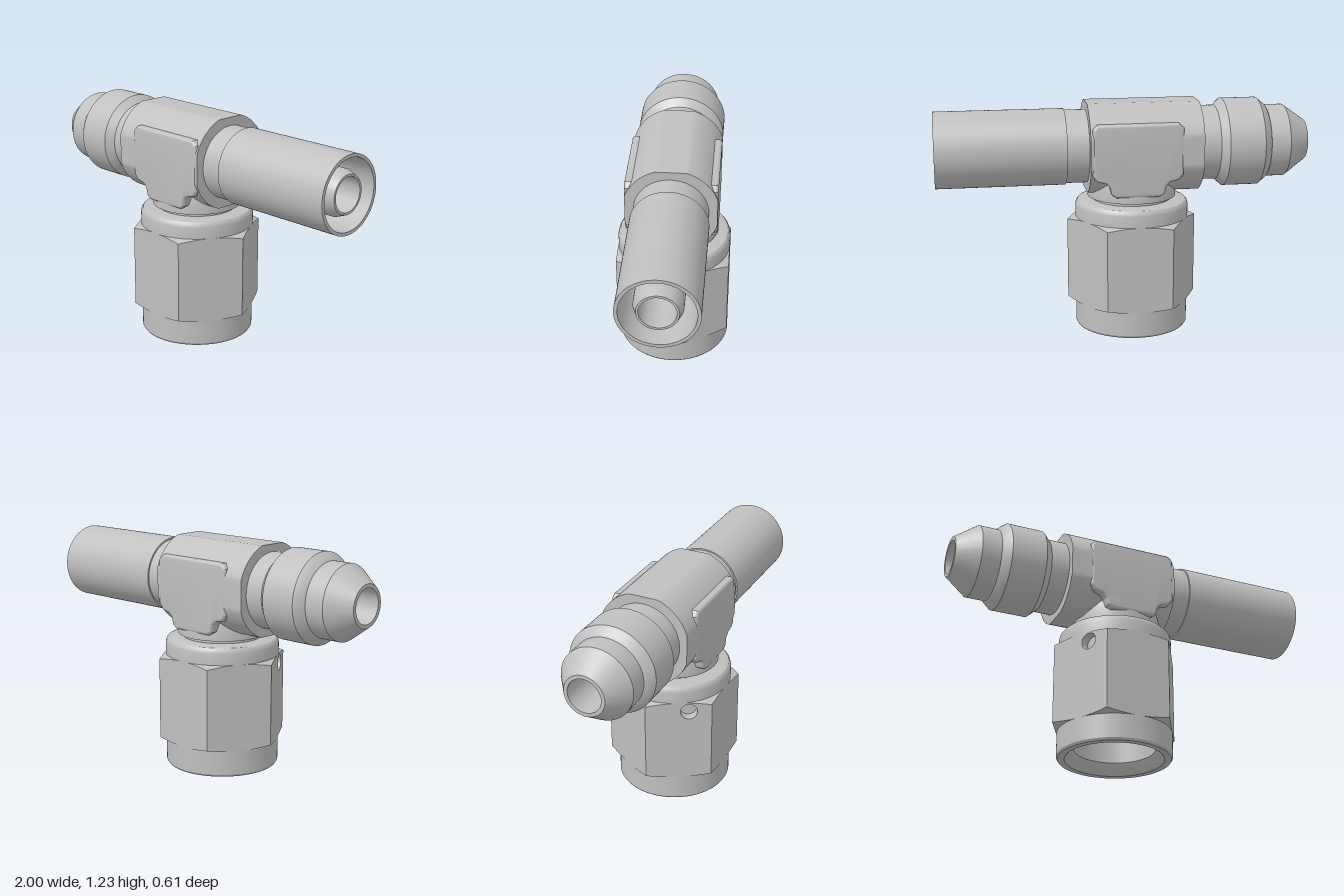
import * as THREE from 'three';
import { toCreasedNormals } from 'three/addons/utils/BufferGeometryUtils.js';

const AXIS_Y = 0.995;   // height of the horizontal run
const STEM_X = -0.05;   // centre of the vertical branch
const FLAT = 0.304;     // nut centre to flat
const HALF = FLAT * Math.tan(Math.PI / 6);

export function createModel() {
  const steel = new THREE.MeshStandardMaterial({ color: 0xc0c0c0, side: THREE.DoubleSide });
  steel.name = 'steel';
  const model = new THREE.Group();
  model.name = 'teeFitting';

  const add = (parent, name, geometry) => {
    const mesh = new THREE.Mesh(toCreasedNormals(geometry, 0.45), steel);
    mesh.name = name;
    parent.add(mesh);
    return mesh;
  };
  const lathe = (points) =>
    new THREE.LatheGeometry(points.map(([r, h]) => new THREE.Vector2(r, h)), 96);
  // Turned part along x; profile is [radius, x]
  const run = (name, points, limit = 1) => {
    const geometry = lathe(points).rotateZ(-Math.PI / 2);
    const p = geometry.attributes.position;
    const clamp = (v) => THREE.MathUtils.clamp(v, -limit, limit);
    for (let i = 0; i < p.count; i++) p.setXYZ(i, p.getX(i), clamp(p.getY(i)), clamp(p.getZ(i)));
    add(model, name, geometry).position.y = AXIS_Y;
  };

  // Horizontal run; the body has narrow flats at its four extremes
  run('flareEnd', [
    [0.09, -1], [0.11, -1], [0.195, -0.88], [0.195, -0.775], [0.205, -0.77], [0.237, -0.73],
    [0.237, -0.54], [0.2, -0.5], [0.2, -0.4],
  ]);
  run('body', [[0.195, -0.4], [0.252, -0.4], [0.252, 0.2], [0.195, 0.2]], 0.239);
  run('neck', [[0.195, 0.2], [0.195, 0.315], [0.203, 0.315]]);
  run('sleeve', [
    [0.203, 0.315], [0.203, 1], [0.185, 1], [0.185, 0.45], [0.165, 0.42], [0.15, 0.4],
    [0.12, 0.4],
  ]);
  run('nipple', [[0.12, 0.4], [0.12, 0.94], [0.102, 0.99], [0.09, 0.99]]);
  run('bore', [[0.09, 0.99], [0.09, -1]]);

  // Flat pads on the front and back of the body, with a tab down the branch
  const outline = [
    [0.24, 0.875], [0.24, 1.12], [0.215, 1.145], [-0.215, 1.145], [-0.24, 1.12], [-0.24, 0.875],
    [-0.215, 0.845], [-0.17, 0.835], [-0.15, 0.815], [-0.14, 0.775], [-0.115, 0.757],
    [0.115, 0.757], [0.14, 0.775], [0.15, 0.815], [0.17, 0.835], [0.215, 0.845],
  ];
  const bevel = 0.015;
  const padShape = new THREE.Shape(outline.map(([x, y]) => new THREE.Vector2(x, y)));
  for (const [name, turn] of [['frontPad', 0], ['backPad', Math.PI]]) {
    const pad = new THREE.ExtrudeGeometry(padShape, {
      depth: 0.06, bevelEnabled: true, bevelSize: bevel, bevelOffset: -bevel,
      bevelThickness: bevel, bevelSegments: 4,
    }).translate(0, 0, 0.241 - 0.06 - bevel);
    const mesh = add(model, name, pad);
    mesh.position.x = STEM_X;
    mesh.rotation.y = turn;
  }

  // Vertical branch and nut
  const branch = new THREE.Group();
  branch.name = 'branch';
  branch.position.x = STEM_X;
  model.add(branch);
  add(branch, 'stem', lathe([
    [0.21, 0.69], [0.21, 0.722], [0.238, 0.722], [0.238, 0.82], [0.225, 0.85],
  ]));
  add(branch, 'nutBarrel', lathe([
    [0.001, 0.45], [0.215, 0.45], [0.215, 0.06], [0.255, 0.006], [0.262, 0], [0.297, 0],
    [0.305, 0.012], [0.305, 0.143],
  ]));
  add(branch, 'nutCollar', lathe([
    [0.305, 0.608], [0.305, 0.672], [0.301, 0.688], [0.292, 0.699], [0.277, 0.704], [0.2, 0.704],
  ]));

  // Hexagon: six flats with curved ends, one of them drilled
  const TOP = 0.61, BOTTOM = 0.14;
  const drop = (r) => 0.35 * (r - FLAT);
  const hole = { s: 0.055, y: 0.555, r: 0.045, depth: 0.05 };
  for (let k = 0; k < 6; k++) {
    const lower = [], upper = [];
    for (let i = 0; i <= 16; i++) {
      const s = FLAT * Math.tan((i / 8 - 1) * Math.PI / 6);
      const d = drop(Math.hypot(s, FLAT));
      lower.push(new THREE.Vector2(s, BOTTOM + d));
      upper.unshift(new THREE.Vector2(s, TOP - d));
    }
    const shape = new THREE.Shape([...lower, ...upper]);
    const turn = k * Math.PI / 3;
    if (k === 5) {
      shape.holes.push(new THREE.Path().absarc(hole.s, hole.y, hole.r, 0, Math.PI * 2, true));
      const wall = new THREE.CylinderGeometry(hole.r, hole.r, hole.depth, 32, 1, true)
        .rotateX(Math.PI / 2).translate(hole.s, hole.y, FLAT - hole.depth / 2);
      const floor = new THREE.CircleGeometry(hole.r, 32)
        .translate(hole.s, hole.y, FLAT - hole.depth);
      add(branch, 'drillWall', wall.rotateY(turn));
      add(branch, 'drillFloor', floor.rotateY(turn));
    }
    const flat = new THREE.ShapeGeometry(shape, 24).translate(0, 0, FLAT);
    add(branch, 'nutFlat', flat.rotateY(turn));
  }

  // Conical chamfers joining the hexagon to the round collars
  for (const [name, y, dir] of [['topChamfer', TOP, 1], ['bottomChamfer', BOTTOM, -1]]) {
    const ring = new THREE.RingGeometry(0.3, 0.4, 96, 1).rotateX(-dir * Math.PI / 2);
    const p = ring.attributes.position;
    const sector = Math.PI / 3;
    for (let i = 0; i < p.count; i++) {
      const x = p.getX(i), z = p.getZ(i), r = Math.hypot(x, z);
      const a = Math.atan2(z, x) + Math.PI * 2;
      const target = r > 0.35 ? FLAT / Math.cos((a % sector) - sector / 2) : FLAT;
      p.setXYZ(i, x * target / r, y - dir * drop(target), z * target / r);
    }
    add(branch, name, ring);
  }
  return model;
}
